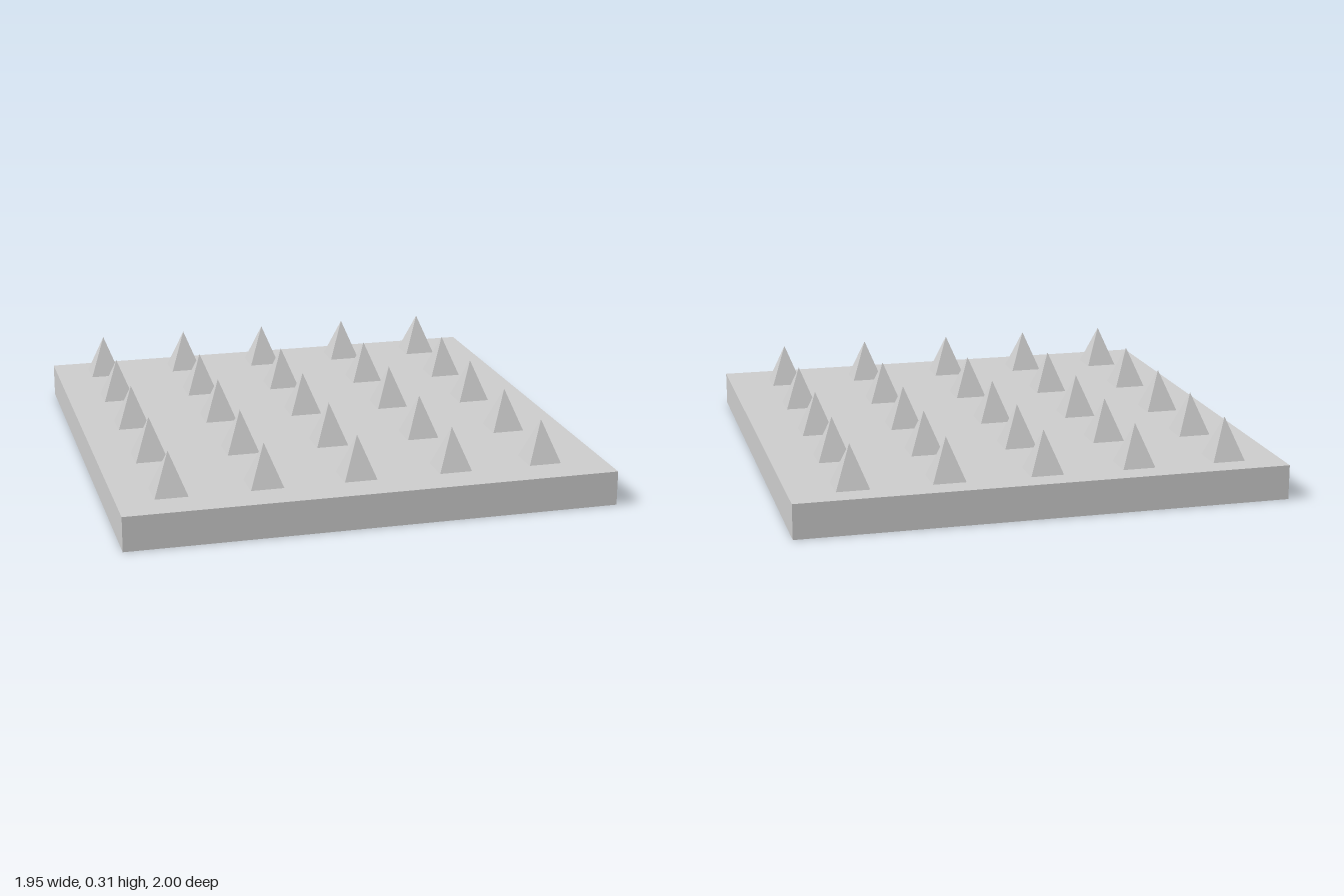
import * as THREE from 'three';

const WIDTH = 1.95, DEPTH = 2, TOP = 0.138, APEX = 0.305;
const COLUMNS = [-0.763, -0.393, -0.024, 0.36, 0.73];
const ROWS = [-0.835, -0.453, -0.06, 0.37, 0.788];

export function createModel() {
  const model = new THREE.Group();
  model.name = 'spikedPlate';
  const material = new THREE.MeshStandardMaterial({
    color: 0xcccccc, flatShading: true, side: THREE.DoubleSide,
  });

  // Thin-walled tray, open underneath: a box without its bottom face
  const trayGeometry = new THREE.BoxGeometry(WIDTH, TOP, DEPTH);
  const index = Array.from(trayGeometry.index.array);
  index.splice(18, 6);
  trayGeometry.setIndex(index);
  trayGeometry.clearGroups();
  trayGeometry.translate(0, TOP / 2, 0);
  const tray = new THREE.Mesh(trayGeometry, material);
  tray.name = 'basePlate';
  model.add(tray);

  // Hollow square spike, 0.13 wide at the plate, poking slightly through it
  const sink = 0.013;
  const height = APEX - TOP + sink;
  const half = 0.065 * height / (APEX - TOP);
  const spikeGeometry = new THREE.ConeGeometry(half * Math.SQRT2, height, 4, 1, true);
  spikeGeometry.rotateY(Math.PI / 4);
  spikeGeometry.translate(0, APEX - height / 2, 0);

  // Five by five field of spikes
  const spikes = new THREE.Group();
  spikes.name = 'spikes';
  for (const z of ROWS) {
    for (const x of COLUMNS) {
      const spike = new THREE.Mesh(spikeGeometry, material);
      spike.name = 'spike';
      spike.position.set(x, 0, z);
      spikes.add(spike);
    }
  }
  model.add(spikes);
  return model;
}
